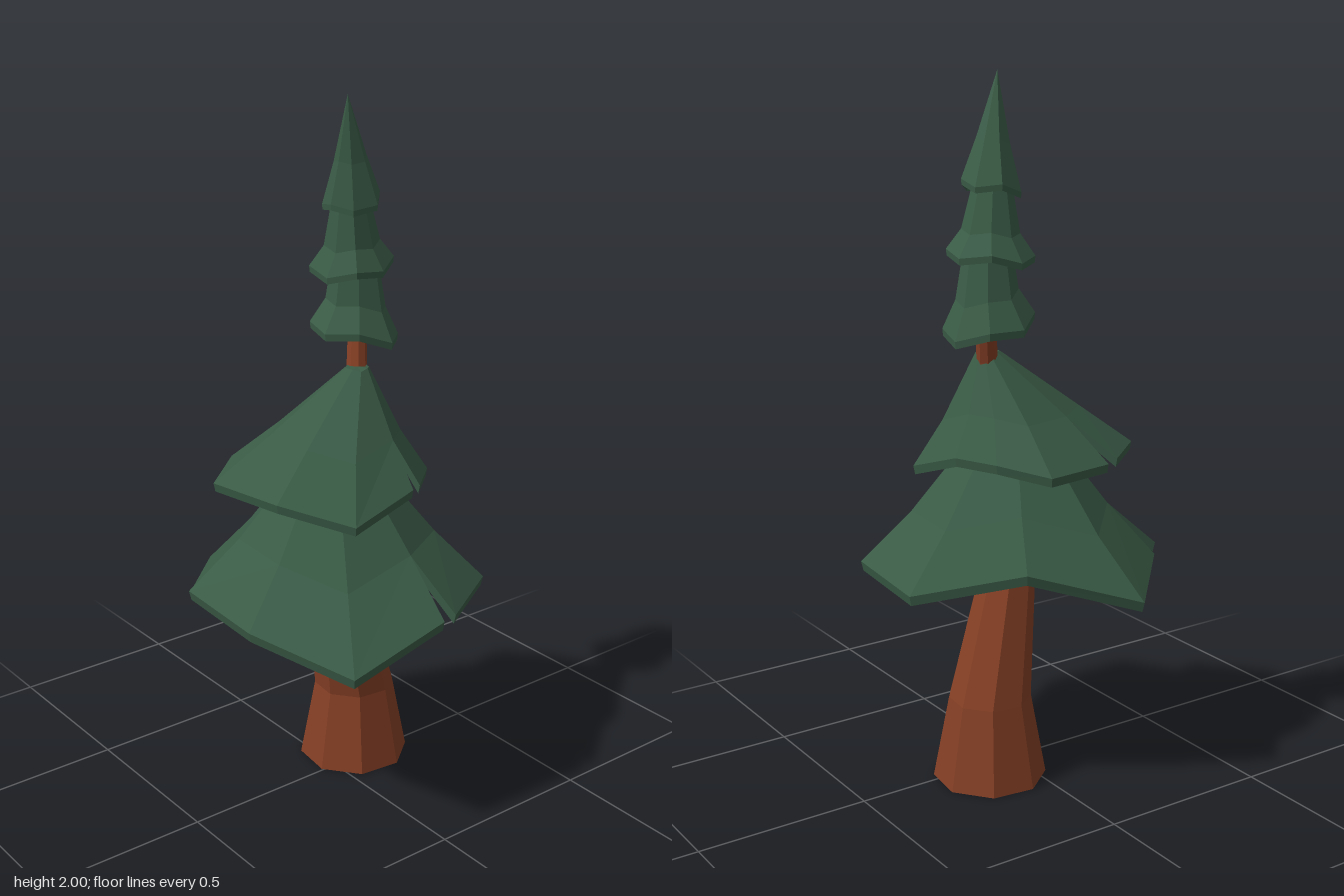
import * as THREE from 'three';

const needleGreen = new THREE.MeshStandardMaterial({ color: 0x3a5b46, flatShading: true });
needleGreen.name = 'needleGreen';
const barkBrown = new THREE.MeshStandardMaterial({ color: 0x853f25, flatShading: true });
barkBrown.name = 'barkBrown';

// Collects quads and leaves out collapsed triangles
function faceBuilder() {
  const pos = [];
  const tri = (a, b, c) => {
    const area = b.clone().sub(a).cross(c.clone().sub(a)).length();
    if (area > 1e-7) for (const p of [a, b, c]) pos.push(p.x, p.y, p.z);
  };
  return {
    tri,
    quad(a, b, c, d) { tri(a, b, c); tri(a, c, d); },
    mesh(name, material) {
      const g = new THREE.BufferGeometry();
      g.setAttribute('position', new THREE.Float32BufferAttribute(pos, 3));
      g.computeVertexNormals();
      const m = new THREE.Mesh(g, material);
      m.name = name;
      return m;
    },
  };
}

// Thick branch skirt: hem is a loop of [x, y, z]; levels are [x, y, z, scale] going up;
// slits lists the hem points after which the skirt is cut open.
function skirt(name, hem, [cx, cz], levels, slits, thick) {
  const n = hem.length;
  const meanY = hem.reduce((s, p) => s + p[1], 0) / n;
  const outer = [hem.map((p) => new THREE.Vector3(...p))];
  for (const [x, y, z, s] of levels) {
    const ring = hem.map((p) => new THREE.Vector3(
      x + (p[0] - cx) * s, y + (p[1] - meanY) * s, z + (p[2] - cz) * s));
    for (const i of slits) {
      const j = (i + 1) % n;
      ring[i].lerp(ring[j], 0.5);
      ring[j].copy(ring[i]);
    }
    outer.push(ring);
  }
  const inner = outer.map((r) => r.map((p) => new THREE.Vector3(
    cx + (p.x - cx) * 0.985, p.y - thick, cz + (p.z - cz) * 0.985)));
  const f = faceBuilder();
  for (let i = 0; i < n; i++) {
    const j = (i + 1) % n;
    if (slits.includes(i)) {
      // side walls of the cut
      f.quad(inner[0][i], inner[1][i], outer[1][i], outer[0][i]);
      f.quad(outer[0][j], outer[1][j], inner[1][j], inner[0][j]);
      continue;
    }
    f.quad(inner[0][i], inner[0][j], outer[0][j], outer[0][i]);
    for (let k = 0; k < levels.length; k++) {
      f.quad(outer[k][i], outer[k][j], outer[k + 1][j], outer[k + 1][i]);
      f.quad(inner[k][i], inner[k + 1][i], inner[k + 1][j], inner[k][j]);
    }
  }
  return f.mesh(name, needleGreen);
}

// Irregular round hem; lean raises the -x side
function roundHem(cx, y, cz, radii, lean) {
  return radii.map((r, i) => {
    const a = (i + 0.3) / radii.length * Math.PI * 2;
    const wave = (i % 2 ? 0.008 : -0.008);
    return [cx + Math.sin(a) * r, y - Math.sin(a) * lean + wave, cz + Math.cos(a) * r];
  });
}

// Bent, tapering trunk from octagonal sections [x, y, z, radius]
function trunk() {
  const sections = [
    [0.11, 0, -0.05, 0.163], [0.105, 0.24, -0.045, 0.118], [0.015, 0.62, -0.01, 0.077],
    [0.05, 0.93, -0.045, 0.05], [0.1, 1.22, -0.03, 0.03], [0.125, 1.36, -0.06, 0.026],
    [0.12, 1.6, -0.07, 0.015],
  ];
  const rings = sections.map(([x, y, z, r]) => Array.from({ length: 8 }, (_, i) => {
    const a = (i + 0.35) / 8 * Math.PI * 2;
    return new THREE.Vector3(x + Math.sin(a) * r, y, z + Math.cos(a) * r);
  }));
  const f = faceBuilder();
  const base = new THREE.Vector3(0.11, 0, -0.05);
  for (let i = 0; i < 8; i++) {
    const j = (i + 1) % 8;
    f.tri(base, rings[0][j], rings[0][i]);
    for (let k = 0; k + 1 < rings.length; k++) {
      f.quad(rings[k][i], rings[k][j], rings[k + 1][j], rings[k + 1][i]);
    }
  }
  return f.mesh('trunk', barkBrown);
}

export function createModel() {
  const tree = new THREE.Group();
  tree.name = 'pineTree';
  tree.add(trunk());

  // Two wide lower skirts
  tree.add(skirt('lowestBranches', [
    [0.10, 0.635, 0.41], [0.36, 0.615, 0.24], [0.40, 0.62, -0.10], [0.155, 0.69, -0.305],
    [-0.155, 0.585, -0.42], [-0.37, 0.62, -0.195], [-0.40, 0.64, -0.16],
    [-0.39, 0.615, 0.12], [-0.255, 0.55, 0.41], [0.055, 0.63, 0.415],
  ], [0, 0], [
    [0, 0.77, 0, 0.66], [-0.01, 0.93, 0.01, 0.37], [0.05, 1.06, -0.02, 0],
  ], [5, 9], 0.028));
  tree.add(skirt('secondBranches', [
    [0.13, 0.95, 0.215], [0.275, 0.925, 0.08], [0.25, 0.985, -0.10], [0.19, 0.98, -0.21],
    [0.09, 0.955, -0.325], [-0.12, 0.955, -0.295], [-0.165, 0.96, -0.275],
    [-0.32, 0.955, -0.14], [-0.27, 0.95, 0.09], [-0.14, 0.91, 0.27], [0.085, 0.955, 0.24],
  ], [-0.02, -0.03], [
    [0.015, 1.07, -0.02, 0.62], [0.09, 1.245, -0.015, 0.11], [0.09, 1.247, -0.015, 0],
  ], [5, 10], 0.025));

  // Three narrow upper skirts
  tree.add(skirt('thirdBranches',
    roundHem(0.12, 1.335, -0.068, [0.135, 0.125, 0.13, 0.125, 0.13, 0.125, 0.13, 0.12], 0.025),
    [0.12, -0.068], [
      [0.125, 1.41, -0.068, 0.68], [0.123, 1.52, -0.066, 0.54], [0.123, 1.56, -0.066, 0],
    ], [], 0.02));
  tree.add(skirt('fourthBranches',
    roundHem(0.125, 1.522, -0.085, [0.11, 0.118, 0.12, 0.11, 0.115, 0.12, 0.112, 0.115], -0.012),
    [0.125, -0.085], [
      [0.12, 1.58, -0.078, 0.66], [0.108, 1.7, -0.07, 0.45], [0.105, 1.74, -0.07, 0],
    ], [], 0.018));
  tree.add(skirt('treeTop',
    roundHem(0.118, 1.705, -0.075, [0.085, 0.078, 0.083, 0.08, 0.085, 0.078, 0.08], -0.012),
    [0.118, -0.075], [
      [0.1, 1.82, -0.06, 0.56], [0.065, 2, -0.03, 0],
    ], [], 0.016));
  return tree;
}
